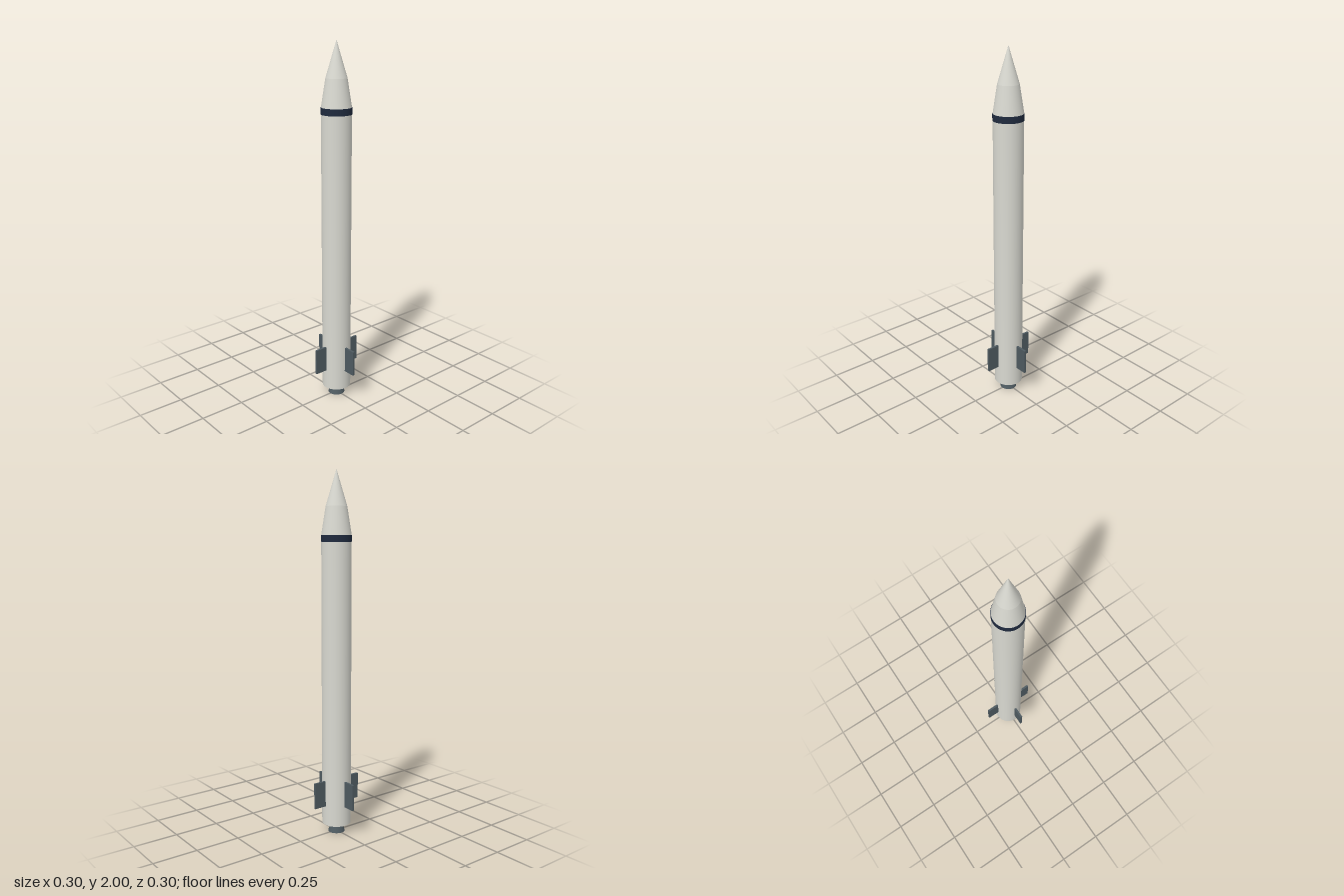
import * as THREE from 'three';

export function createModel() {
  const group = new THREE.Group();
  const hullWhite = new THREE.MeshStandardMaterial({ color: 0xd8d8d0 });
  const bandNavy = new THREE.MeshStandardMaterial({ color: 0x1f2a3e });
  const finGrey = new THREE.MeshStandardMaterial({ color: 0x4e5a60 });

  const add = (name, geometry, material, y) => {
    const mesh = new THREE.Mesh(geometry, material);
    mesh.name = name;
    mesh.position.y = y;
    group.add(mesh);
    return mesh;
  };
  // Upright cylinder or cone spanning two heights
  const stage = (name, rTop, rBottom, y0, y1, material, open = false) =>
    add(name, new THREE.CylinderGeometry(rTop, rBottom, y1 - y0, 48, 1, open), material, (y0 + y1) / 2);

  // Engine, body and painted band
  stage('nozzle', 0.028, 0.047, 0, 0.056, finGrey);
  stage('body', 0.081, 0.081, 0.053, 1.64, hullWhite);
  stage('band', 0.0825, 0.0825, 1.625, 1.661, bandNavy);

  // Two-step nose
  stage('noseBase', 0.057, 0.081, 1.66, 1.81, hullWhite, true);
  stage('noseTip', 0, 0.057, 1.81, 2, hullWhite, true);

  // Four rectangular fins
  for (let i = 0; i < 4; i++) {
    const geometry = new THREE.BoxGeometry(0.082, 0.146, 0.012);
    geometry.translate(0.11, 0, 0);
    add('fin' + (i + 1), geometry, finGrey, 0.237).rotation.y = (i * Math.PI) / 2;
  }
  return group;
}
